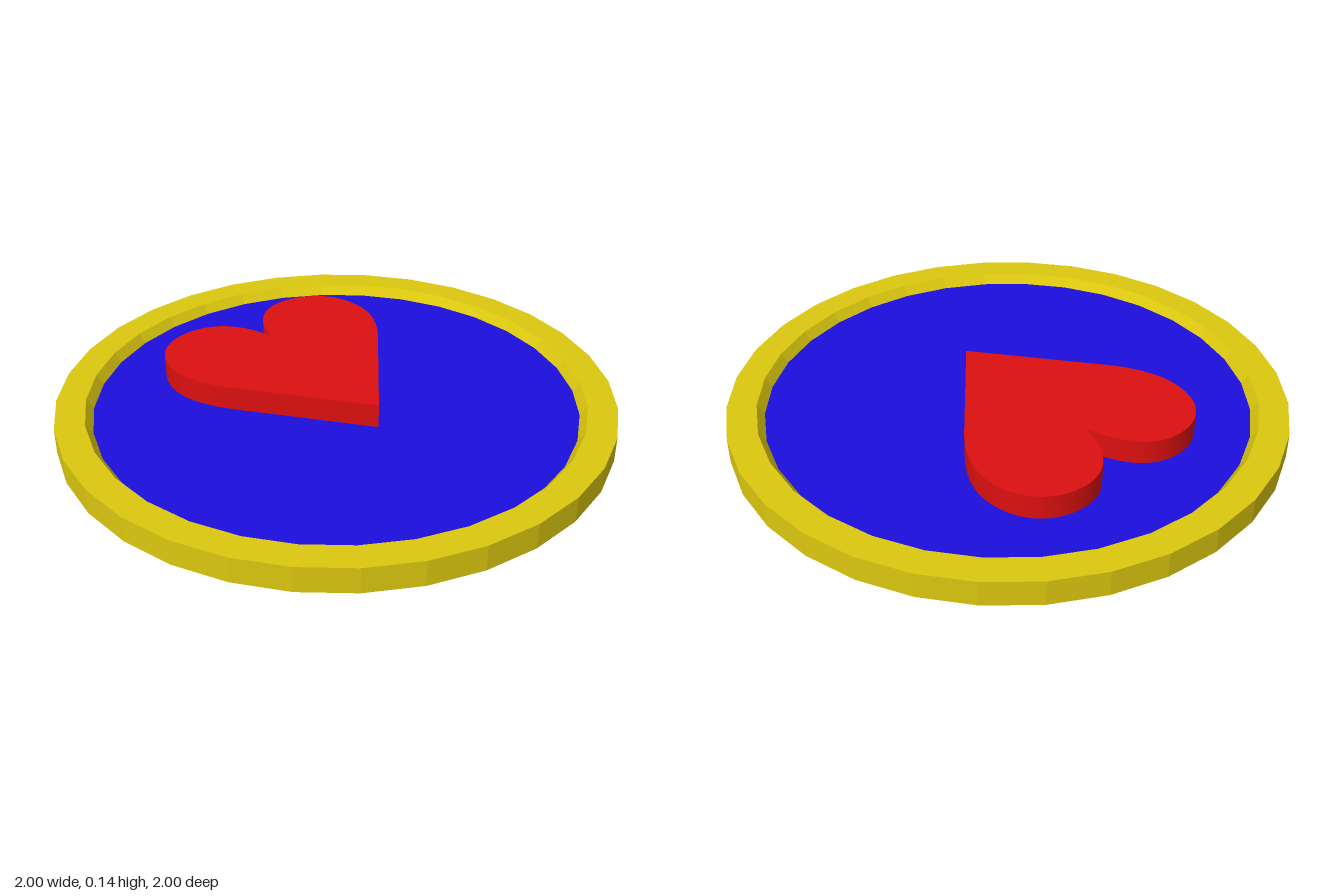
import * as THREE from 'three';
import { toCreasedNormals } from 'three/addons/utils/BufferGeometryUtils.js';

const SIDES = 32;
const FLOOR_Y = 0.057, RIM_Y = 0.093, HEART_Y = 0.145;
const FLOOR_R = 0.87;

function addPart(group, name, geometry, color, flatShading = false) {
  const mesh = new THREE.Mesh(geometry, new THREE.MeshStandardMaterial({ color, flatShading }));
  mesh.name = name;
  group.add(mesh);
  return mesh;
}

// Heart outline: right half as beziers, then mirrored back to the notch
function heartShape() {
  const s = new THREE.Shape();
  s.moveTo(0, -0.24);
  s.lineTo(0.33, 0.165);
  s.bezierCurveTo(0.39, 0.24, 0.43, 0.32, 0.43, 0.40);
  s.bezierCurveTo(0.43, 0.54, 0.34, 0.63, 0.215, 0.63);
  s.bezierCurveTo(0.11, 0.63, 0.03, 0.55, 0, 0.41);
  s.bezierCurveTo(-0.03, 0.55, -0.11, 0.63, -0.215, 0.63);
  s.bezierCurveTo(-0.34, 0.63, -0.43, 0.54, -0.43, 0.40);
  s.bezierCurveTo(-0.43, 0.32, -0.39, 0.24, -0.33, 0.165);
  s.lineTo(0, -0.24);
  return s;
}

export function createModel() {
  const model = new THREE.Group();
  model.name = 'heartMedallion';
  const yellow = 0xdcc80f, blue = 0x1c0edc, red = 0xdc1010;

  // Raised rim: outer wall, flat top, sloping inner wall
  const profile = [[1, 0], [1, RIM_Y], [0.895, RIM_Y], [FLOOR_R, FLOOR_Y]]
    .map(([r, y]) => new THREE.Vector2(r, y));
  addPart(model, 'rim', new THREE.LatheGeometry(profile, SIDES), yellow, true);

  // Recessed floor and underside
  const floor = new THREE.CircleGeometry(FLOOR_R, SIDES).rotateX(-Math.PI / 2);
  addPart(model, 'floor', floor, blue, true).position.y = FLOOR_Y;
  const underside = new THREE.CircleGeometry(1, SIDES).rotateX(Math.PI / 2);
  addPart(model, 'underside', underside, blue, true);

  // Raised heart, standing on the floor with its tip to the front
  const heart = new THREE.ExtrudeGeometry(heartShape(), {
    depth: HEART_Y - FLOOR_Y, bevelEnabled: false, curveSegments: 12,
  }).rotateX(-Math.PI / 2);
  addPart(model, 'heart', toCreasedNormals(heart, 0.6), red).position.y = FLOOR_Y;

  return model;
}
